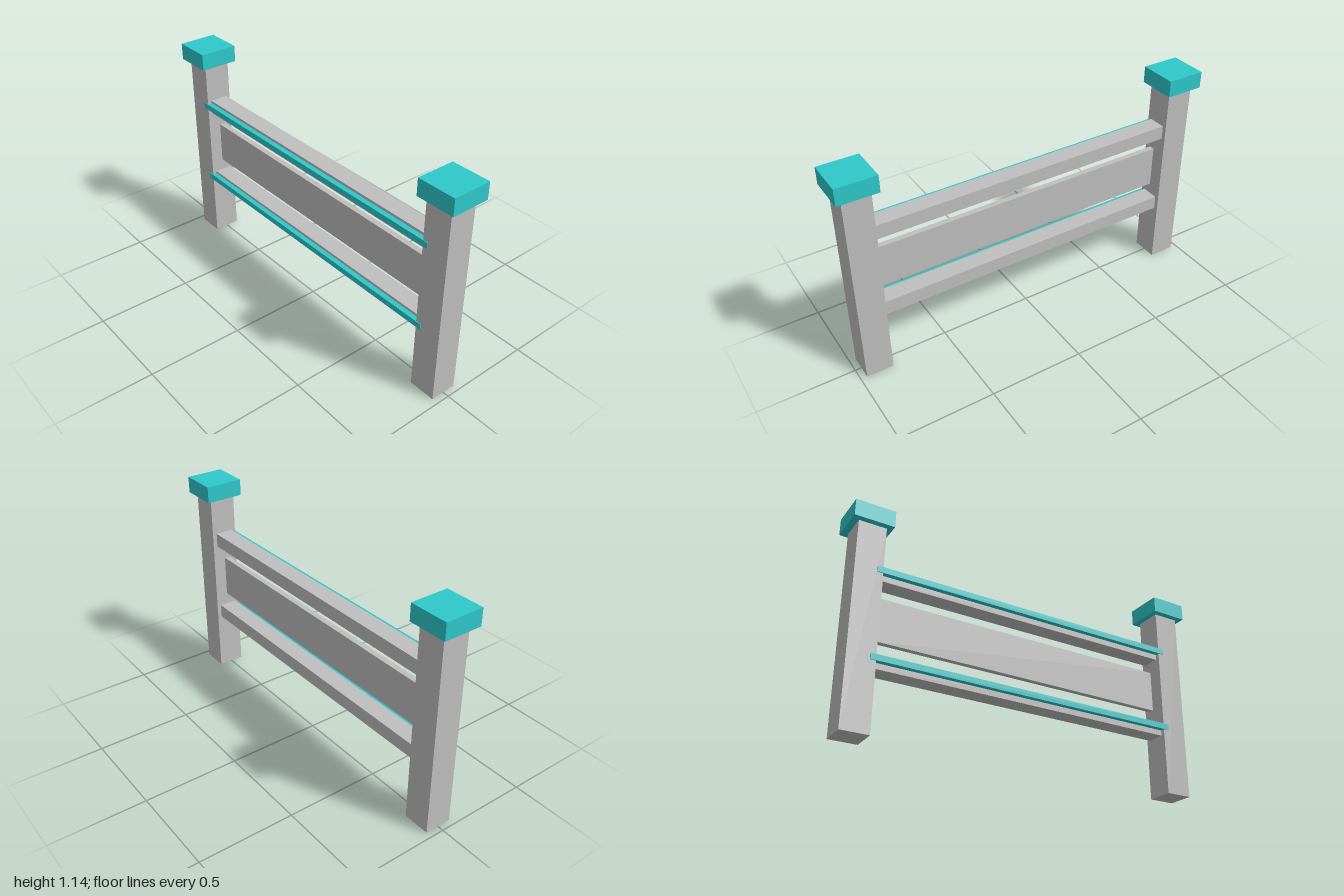
import * as THREE from 'three';

export function createModel() {
  const model = new THREE.Group();
  model.name = 'fence';

  const grey = new THREE.MeshStandardMaterial({ color: 0xbfbfbf });
  grey.name = 'grey';
  const teal = new THREE.MeshStandardMaterial({ color: 0x2ec8cb });
  teal.name = 'teal';

  // Box given by its size and centre
  function addBox(name, material, [w, h, d], [x, y, z]) {
    const mesh = new THREE.Mesh(new THREE.BoxGeometry(w, h, d), material);
    mesh.name = name;
    mesh.position.set(x, y, z);
    model.add(mesh);
  }

  // Posts with overhanging caps
  for (const [side, s] of [['left', 1], ['right', -1]]) {
    addBox(side + 'Post', grey, [0.142, 1.05, 0.142], [s * 0.896, 0.525, 0]);
    addBox(side + 'Cap', teal, [0.204, 0.088, 0.204], [s * 0.898, 1.095, 0]);
  }

  // Rails, each with a trim strip along the front that laps over the posts
  for (const [level, y] of [['lower', 0.36], ['upper', 0.81]]) {
    addBox(level + 'Rail', grey, [1.66, 0.075, 0.096], [0, y, 0]);
    addBox(level + 'Strip', teal, [1.71, 0.031, 0.033], [0, y + 0.008, 0.0585]);
  }

  // Thin panel between the rails, just short of the posts
  addBox('panel', grey, [1.61, 0.225, 0.03], [0, 0.587, 0]);

  return model;
}
